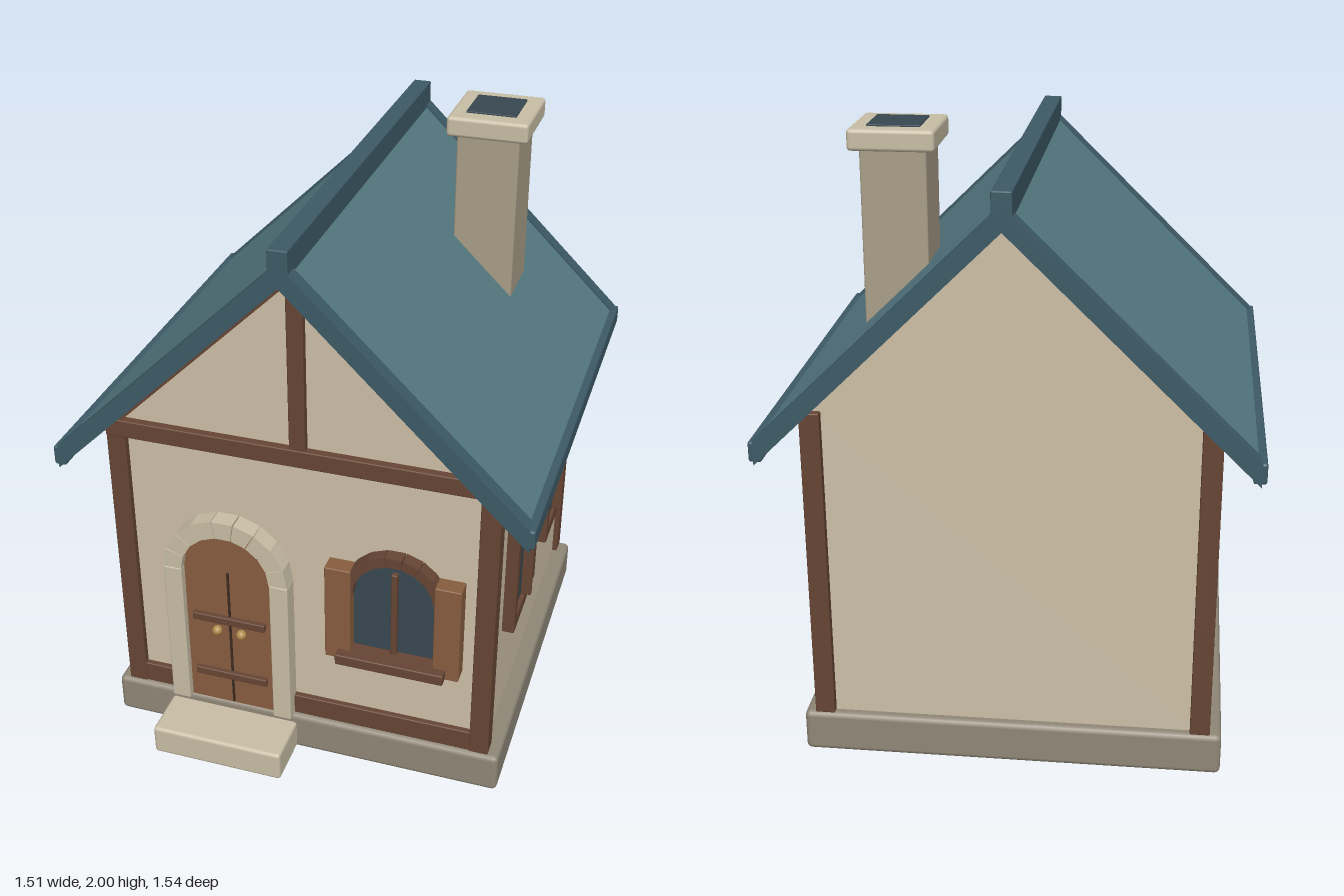
import * as THREE from 'three';
import { RoundedBoxGeometry } from 'three/addons/geometries/RoundedBoxGeometry.js';

const mat = (color) => new THREE.MeshStandardMaterial({ color });
const M = {
  plaster: mat(0xcdbfa7), wood: mat(0x664534), door: mat(0x875d3f), roof: mat(0x557982),
  trim: mat(0x3d5a66), glass: mat(0x384850), plinth: mat(0x8f8777), chimney: mat(0xa89e88),
  stone: mat(0xc8bea6), brass: mat(0xb08d4c), dark: mat(0x3a2a20),
};

export function createModel() {
  const house = new THREE.Group();
  house.name = 'cottage';

  const add = (name, geometry, material, parent = house) => {
    const mesh = new THREE.Mesh(geometry, material);
    mesh.name = name;
    parent.add(mesh);
    return mesh;
  };
  // Box given by its limits on each axis, with an optional rounded edge
  const box = (name, material, [x0, x1], [y0, y1], [z0, z1], r = 0.004, parent = house) => {
    const m = add(name, new RoundedBoxGeometry(x1 - x0, y1 - y0, z1 - z0, 2, r), material, parent);
    m.position.set((x0 + x1) / 2, (y0 + y1) / 2, (z0 + z1) / 2);
    return m;
  };
  // Outline in x and y, extruded from z0 to z1
  const slab = (name, material, shape, z0, z1, parent = house) => {
    const g = new THREE.ExtrudeGeometry(shape, { depth: z1 - z0, bevelEnabled: false, curveSegments: 20 });
    g.translate(0, 0, z0);
    return add(name, g, material, parent);
  };
  const poly = (points) => new THREE.Shape(points.map(([x, y]) => new THREE.Vector2(x, y)));
  // Opening with a round head
  const archShape = (cx, y0, spring, r) => {
    const s = new THREE.Shape();
    s.moveTo(cx - r, y0);
    s.lineTo(cx + r, y0);
    s.lineTo(cx + r, spring);
    s.absarc(cx, spring, r, 0, Math.PI, false);
    return s;
  };
  // Half ring of wedge blocks
  const archBlocks = (name, material, cx, cy, r0, r1, z0, z1, count) => {
    const group = new THREE.Group();
    group.name = name;
    house.add(group);
    const step = Math.PI / count;
    const gap = 0.008;
    for (let i = 0; i < count; i++) {
      const a = i * step + gap, b = (i + 1) * step - gap;
      const at = (r, t) => [cx + r * Math.cos(t), cy + r * Math.sin(t)];
      slab(name + 'Block', material, poly([at(r0, a), at(r1, a), at(r1, b), at(r0, b)]), z0, z1, group);
    }
  };

  // Plinth and doorstep
  box('plinth', M.plinth, [-0.67, 0.67], [0, 0.14], [-0.65, 0.6], 0.018);
  box('doorstep', M.stone, [-0.47, -0.02], [0.005, 0.11], [0.56, 0.77], 0.012);

  // Walls with both gables
  const slope = 0.98;
  slab('walls', M.plaster, poly([
    [-0.615, 0.13], [0.615, 0.13], [0.615, 1.8 - slope * 0.615], [0, 1.8], [-0.615, 1.8 - slope * 0.615],
  ]), -0.62, 0.565);

  // Corner posts
  for (const s of [-1, 1]) {
    const x = s > 0 ? [0.57, 0.633] : [-0.633, -0.57];
    box('frontCornerPost', M.wood, x, [0.14, 1.18], [0.524, 0.588]);
    box('backCornerPost', M.wood, x, [0.14, 1.18], [-0.645, -0.581]);
  }

  // Front timber frame
  box('tieBeam', M.wood, [-0.633, 0.633], [1.13, 1.19], [0.54, 0.592]);
  box('kingPost', M.wood, [-0.026, 0.026], [1.18, 1.79], [0.54, 0.588]);
  box('sillBeam', M.wood, [-0.6, 0.6], [0.14, 0.215], [0.54, 0.584]);
  for (const s of [-1, 1]) {
    const pts = [[0, 1.8], [0, 1.755], [s * 0.59, 1.755 - slope * 0.59], [s * 0.62, 1.8 - slope * 0.62]];
    slab('gableRafter', M.wood, poly(pts), 0.54, 0.584);
  }

  // Roof slopes, rake boards and eave boards
  const roofSide = (s, top, under, end) => poly([
    [0, top], [s * end, top - slope * end], [s * end, under - slope * end], [0, under],
  ]);
  for (const s of [-1, 1]) {
    slab('roofSlope', M.roof, roofSide(s, 1.85, 1.798, 0.74), -0.745, 0.685);
    for (const [z0, z1] of [[0.66, 0.71], [-0.77, -0.72]]) {
      slab('rakeBoard', M.trim, roofSide(s, 1.86, 1.785, 0.74), z0, z1);
    }
    const x = s > 0 ? [0.715, 0.755] : [-0.755, -0.715];
    box('eaveBoard', M.trim, x, [1.07, 1.135], [-0.77, 0.71], 0.008);
  }
  box('ridgeCap', M.trim, [-0.03, 0.03], [1.8, 1.9], [-0.77, 0.71]);

  // Chimney
  box('chimneyStack', M.chimney, [0.265, 0.465], [1.36, 1.94], [-0.42, -0.207], 0.006);
  box('chimneyCap', M.stone, [0.235, 0.495], [1.93, 1.995], [-0.453, -0.18], 0.012);
  box('flue', M.glass, [0.285, 0.445], [1.97, 2], [-0.4, -0.235], 0.002);

  // Arched double door with stone surround
  const dx = -0.243;
  slab('doorLeaves', M.door, archShape(dx, 0.14, 0.685, 0.153), 0.55, 0.598);
  box('doorSeam', M.dark, [dx - 0.004, dx + 0.004], [0.145, 0.685], [0.59, 0.602], 0.001);
  for (const y of [0.25, 0.48]) {
    box('doorStrap', M.wood, [dx - 0.125, dx + 0.125], [y, y + 0.028], [0.59, 0.615]);
  }
  for (const s of [-1, 1]) {
    const knob = add('doorKnob', new THREE.SphereGeometry(0.017, 16, 12), M.brass);
    knob.position.set(dx + s * 0.042, 0.45, 0.61);
    const x = s > 0 ? [dx + 0.15, dx + 0.212] : [dx - 0.212, dx - 0.15];
    box('doorJamb', M.stone, x, [0.14, 0.685], [0.55, 0.625]);
  }
  archBlocks('doorArch', M.stone, dx, 0.685, 0.15, 0.212, 0.55, 0.625, 9);

  // Arched front window with shutters
  const wx = 0.312;
  slab('frontGlass', M.glass, archShape(wx, 0.48, 0.705, 0.135), 0.55, 0.58);
  archBlocks('windowArch', M.wood, wx, 0.705, 0.132, 0.167, 0.55, 0.61, 9);
  box('frontMullion', M.wood, [wx - 0.01, wx + 0.01], [0.48, 0.8], [0.57, 0.598]);
  box('windowSill', M.wood, [wx - 0.177, wx + 0.177], [0.45, 0.488], [0.55, 0.655]);
  for (const s of [-1, 1]) {
    const x = s > 0 ? [wx + 0.135, wx + 0.22] : [wx - 0.22, wx - 0.135];
    box('shutter', M.door, x, [0.45, 0.8], [0.56, 0.622]);
  }

  // Pair of side windows
  for (const z of [0.213, -0.307]) {
    const win = new THREE.Group();
    win.name = 'sideWindow';
    house.add(win);
    const part = (name, m, x, y, zr) => box(name, m, x, y, zr, 0.004, win);
    const depth = [0.6, 0.655];
    part('sideFrameTop', M.wood, depth, [0.868, 0.907], [z - 0.164, z + 0.164]);
    part('sideFrameBottom', M.wood, depth, [0.485, 0.532], [z - 0.164, z + 0.164]);
    part('sideFrameStile', M.wood, depth, [0.5, 0.89], [z + 0.124, z + 0.164]);
    part('sideFrameStile', M.wood, depth, [0.5, 0.89], [z - 0.164, z - 0.124]);
    part('sideGlass', M.glass, [0.6, 0.642], [0.5, 0.89], [z - 0.14, z + 0.14]);
    part('sideMullion', M.wood, [0.62, 0.675], [0.53, 0.878], [z - 0.01, z + 0.01]);
  }

  return house;
}
